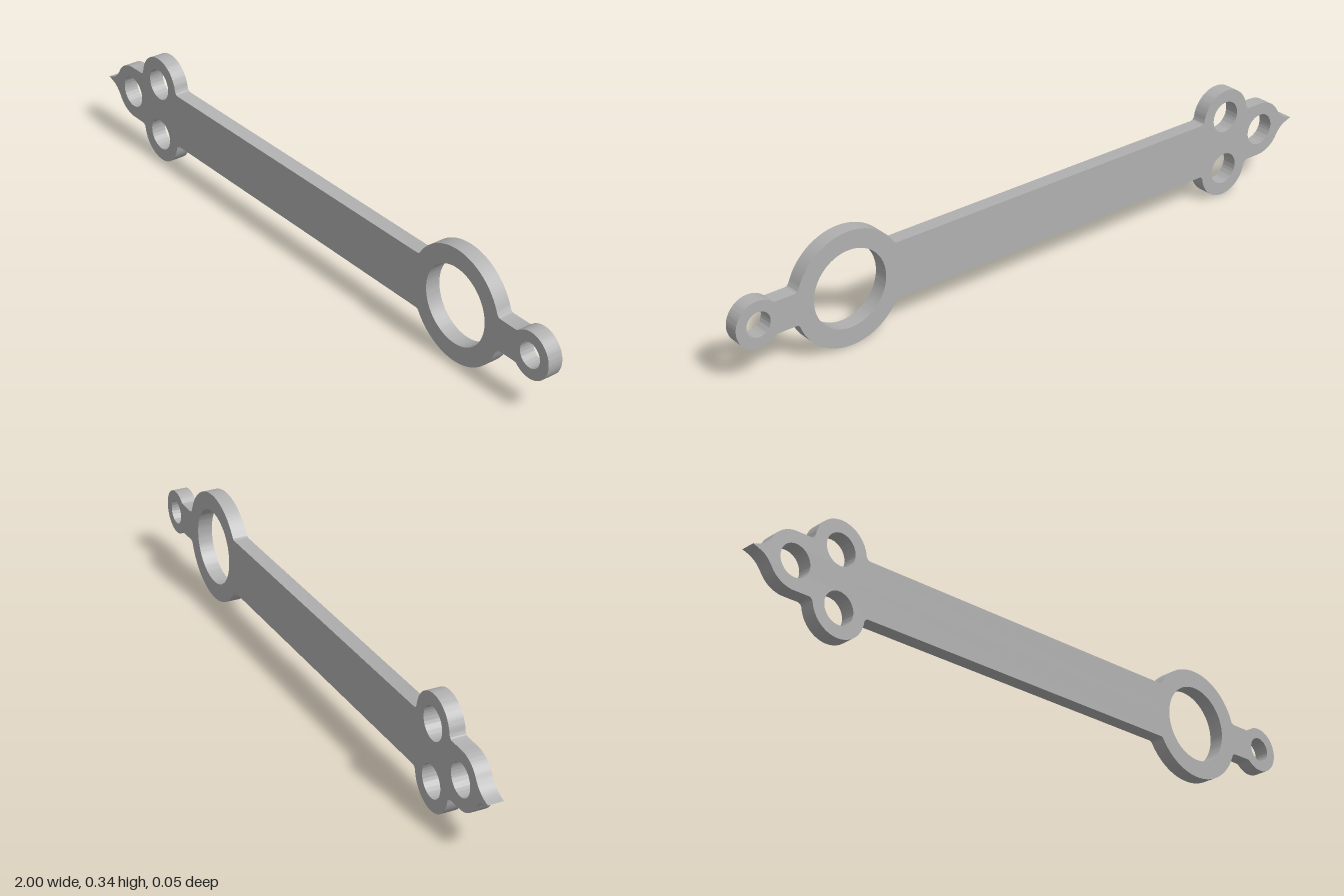
import * as THREE from 'three';
import { toCreasedNormals } from 'three/addons/utils/BufferGeometryUtils.js';

const MID = 0.171, DEPTH = 0.046, FILLET = 0.014;

// Rings: centre (relative to the mid line), outer radius, hole radius
const tipRing = { x: -0.866, y: 0, r: 0.085, hole: 0.048 };
const lobe = { x: -0.72, y: 0.085, r: 0.086, hole: 0.048 };
const bigRing = { x: 0.644, y: 0, r: 0.171, hole: 0.116 };
const endRing = { x: 0.931, y: 0, r: 0.069, hole: 0.037 };
const BAR = 0.085, NECK = 0.048;

// Fillet between a horizontal edge at height h and a ring (side -1 = ring's left, 1 = its right)
function fillet(ring, h, side) {
  const y = h + FILLET, reach = ring.r + FILLET;
  const x = ring.x + side * Math.sqrt(reach ** 2 - (y - ring.y) ** 2);
  return { x, y, r: FILLET, angle: Math.atan2(ring.y - y, ring.x - x) };
}

function upperOutline() {
  const pts = [];
  const arc = (c, a0, a1, n) => {
    for (let i = 0; i <= n; i++) {
      const a = a0 + (a1 - a0) * i / n;
      pts.push(new THREE.Vector2(c.x + c.r * Math.cos(a), c.y + c.r * Math.sin(a)));
    }
  };
  const enter = (f) => arc(f, -Math.PI / 2, f.angle, 6);
  const leave = (f) => arc(f, f.angle, -Math.PI / 2, 6);

  // Pointed tip flowing into the tip ring
  const start = Math.PI * 5 / 6;
  const join = new THREE.Vector2(tipRing.x + tipRing.r * Math.cos(start), tipRing.r * Math.sin(start));
  const tip = new THREE.QuadraticBezierCurve(new THREE.Vector2(-1, 0), new THREE.Vector2(-0.96, 0.008), join);
  pts.push(...tip.getPoints(10).slice(0, -1));
  arc(tipRing, start, Math.PI / 2, 14);

  // Side lobe, bar, big ring, neck, end ring
  const stops = [[lobe, BAR, BAR], [bigRing, BAR, NECK], [endRing, NECK, null]];
  for (const [ring, before, after] of stops) {
    const a = fillet(ring, before, -1);
    const b = after === null ? null : fillet(ring, after, 1);
    enter(a);
    arc(ring, a.angle + Math.PI, b ? b.angle + Math.PI : 0, 32);
    if (b) leave(b);
  }
  return pts.filter((p, i) => i === 0 || p.distanceTo(pts[i - 1]) > 1e-5);
}

export function createModel() {
  const group = new THREE.Group();
  group.name = 'linkPlate';
  const steel = new THREE.MeshStandardMaterial({ color: 0xb0b0b0 });
  steel.name = 'grey steel';

  // Outline mirrored about the mid line
  const top = upperOutline();
  const bottom = top.slice(1, -1).reverse().map((p) => new THREE.Vector2(p.x, -p.y));
  const shape = new THREE.Shape([...top, ...bottom]);

  // Round holes through every ring
  for (const c of [tipRing, lobe, { ...lobe, y: -lobe.y }, bigRing, endRing]) {
    const hole = new THREE.Path();
    hole.absarc(c.x, c.y, c.hole, 0, Math.PI * 2, false);
    shape.holes.push(hole);
  }

  const geometry = new THREE.ExtrudeGeometry(shape, { depth: DEPTH, bevelEnabled: false, curveSegments: 48 });
  geometry.translate(0, MID, -DEPTH / 2);
  const plate = new THREE.Mesh(toCreasedNormals(geometry, 0.5), steel);
  plate.name = 'plate';
  group.add(plate);
  return group;
}
